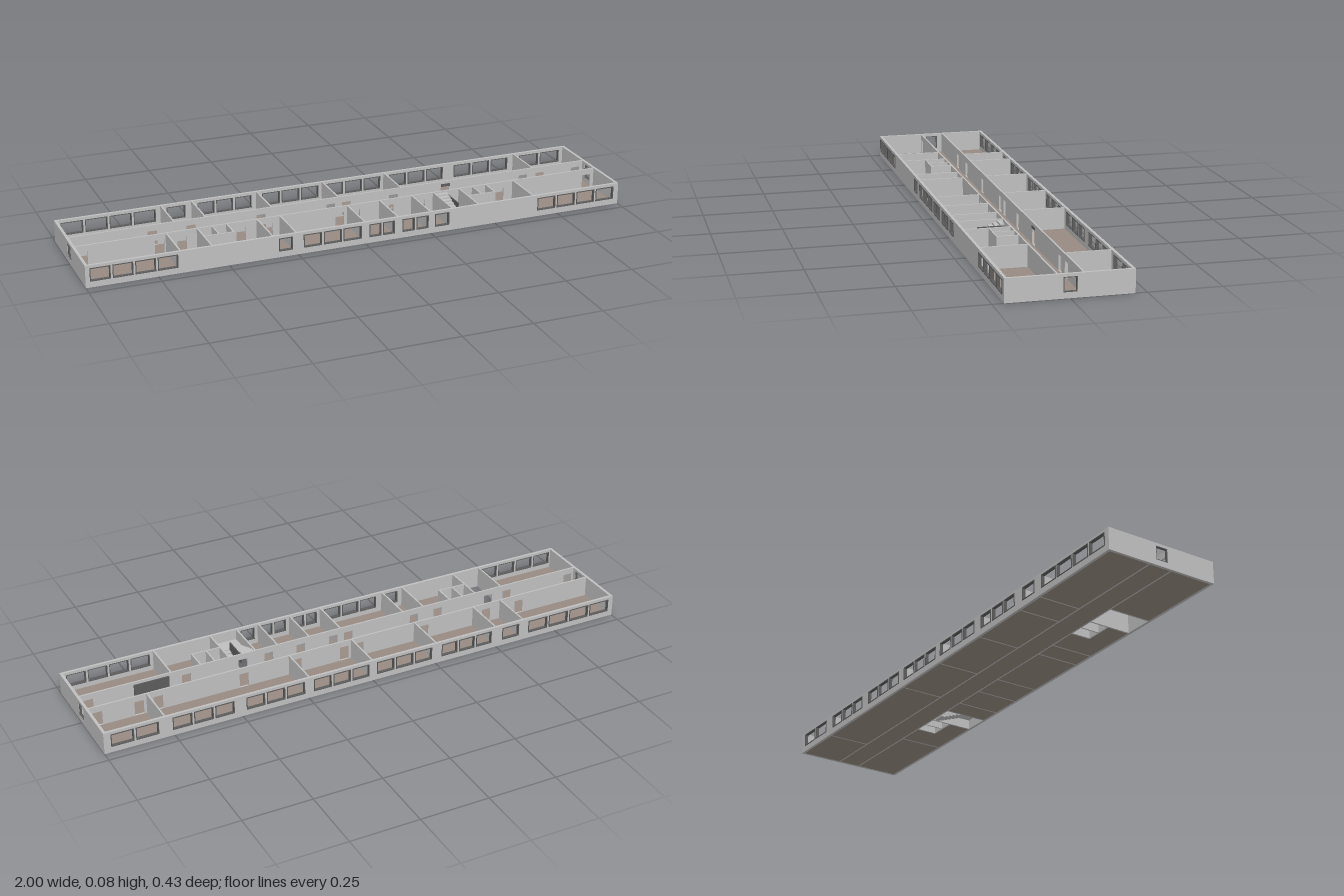
import * as THREE from 'three';

const H = 0.08;          // wall height
const SLAB = 0.004;      // floor thickness
const T = 0.01;          // outer wall thickness
const P = 0.006;         // partition thickness
const SILL = 0.022, HEAD = 0.07;
const DOOR_W = 0.034, DOOR_TOP = 0.058;

const wallMat = new THREE.MeshStandardMaterial({ name: 'wall grey', color: 0xbfbfbf });
const floorMat = new THREE.MeshStandardMaterial({ name: 'floor brown', color: 0x968a82 });
const frameMat = new THREE.MeshStandardMaterial({ name: 'frame grey', color: 0x5c5c5c });

export function createModel() {
  const model = new THREE.Group();
  model.name = 'buildingStorey';

  // box given by its limits
  function block(name, mat, x0, x1, y0, y1, z0, z1, parent = model) {
    const m = new THREE.Mesh(new THREE.BoxGeometry(x1 - x0, y1 - y0, z1 - z0), mat);
    m.position.set((x0 + x1) / 2, (y0 + y1) / 2, (z0 + z1) / 2);
    m.name = name;
    parent.add(m);
    return m;
  }

  // upright wall with rectangular holes [u0, u1, y0, y1], centred on its thickness
  function wall(name, u0, u1, thick, holes) {
    const s = new THREE.Shape();
    s.moveTo(u0, 0).lineTo(u1, 0).lineTo(u1, H).lineTo(u0, H).closePath();
    for (const [a, b, c, d] of holes) {
      const h = new THREE.Path();
      h.moveTo(a, c).lineTo(a, d).lineTo(b, d).lineTo(b, c).closePath();
      s.holes.push(h);
    }
    const g = new THREE.ExtrudeGeometry(s, { depth: thick, bevelEnabled: false });
    g.translate(0, 0, -thick / 2);
    const m = new THREE.Mesh(g, wallMat);
    m.name = name;
    const group = new THREE.Group();
    group.name = name + 'Assembly';
    group.add(m);
    model.add(group);
    return group;
  }

  // four thin bars lining an opening
  function frame(parent, [a, b, c, d], depth, z) {
    const w = 0.003, z0 = z - depth / 2, z1 = z + depth / 2;
    block('frameSide', frameMat, a, a + w, c, d, z0, z1, parent);
    block('frameSide', frameMat, b - w, b, c, d, z0, z1, parent);
    block('frameSill', frameMat, a + w, b - w, c, c + w, z0, z1, parent);
    block('frameHead', frameMat, a + w, b - w, d - w, d, z0, z1, parent);
  }

  // [start, end, count] gives a row of equal windows
  function windowRow(rows) {
    const out = [];
    for (const [a, b, n] of rows) {
      const gap = 0.007, w = (b - a - gap * (n - 1)) / n;
      for (let i = 0; i < n; i++) {
        const x = a + i * (w + gap);
        out.push([x, x + w, SILL, HEAD]);
      }
    }
    return out;
  }

  // outer long walls with framed windows
  const frontWindows = windowRow([
    [-0.985, -0.68, 4], [-0.32, -0.27, 1], [-0.23, -0.015, 3], [0.015, 0.11, 2],
    [0.14, 0.24, 2], [0.265, 0.32, 1], [0.67, 0.98, 4]]);
  const backWindows = windowRow([
    [-0.98, -0.635, 4], [-0.595, -0.525, 1], [-0.48, -0.275, 3], [-0.235, -0.015, 3],
    [0.015, 0.23, 3], [0.265, 0.485, 3], [0.53, 0.755, 3], [0.805, 0.975, 2]]);
  for (const [name, side, wins] of [['frontWall', 1, frontWindows], ['backWall', -1, backWindows]]) {
    const g = wall(name, -1, 1, T, wins);
    g.position.z = side * (0.211 - T / 2);
    wins.forEach((w) => frame(g, w, T + 0.002, side * 0.001));
  }

  // end walls with one corridor window each
  for (const side of [-1, 1]) {
    const hole = [-0.023, 0.023, 0.02, HEAD];
    const g = wall('endWall', -0.201, 0.201, T, [hole]);
    g.rotation.y = Math.PI / 2;
    g.position.x = side * (1 - T / 2);
    frame(g, hole, T - 0.002, 0);
  }

  // corridor walls with doorways
  const doors = (list) => list.map((x) => [x - DOOR_W / 2, x + DOOR_W / 2, SLAB + 0.001, DOOR_TOP]);
  const corridors = [
    ['corridorWallBack', -0.045, [-0.695, -0.555, -0.295, -0.03, 0.03, 0.215, 0.42, 0.74, 0.81, 0.96]],
    ['corridorWallFront', 0.041, [-0.965, -0.695, -0.615, -0.4, -0.3, -0.03, 0.03, 0.16, 0.285, 0.385, 0.6, 0.96]]];
  for (const [name, z, list] of corridors) {
    const holes = doors(list);
    const g = wall(name, -0.99, 0.99, P, holes);
    g.position.z = z;
  }
  block('corridorPanel', frameMat, 0.665, 0.795, 0.02, 0.07, 0.034, 0.038);
  block('corridorPanel', frameMat, 0.405, 0.44, 0.06, 0.07, -0.042, -0.039);

  // cross partitions between rooms
  const backParts = [-0.615, -0.5, -0.255, 0, 0.245, 0.78];
  const frontParts = [-0.67, -0.558, -0.34, -0.255, 0, 0.125, 0.25, 0.335, 0.437, 0.655];
  for (const x of backParts) block('partition', wallMat, x - P / 2, x + P / 2, 0, H, -0.201, -0.048);
  for (const x of frontParts) block('partition', wallMat, x - P / 2, x + P / 2, 0, H, 0.044, 0.201);

  // floor slabs, one per room; stairwells stay open
  function roomFloors(parts, z0, z1) {
    const e = [-0.99 - P / 2, ...parts, 0.99 + P / 2];
    for (let i = 0; i + 1 < e.length; i++) {
      const a = e[i] + P / 2, b = e[i + 1] - P / 2;
      if (z0 > 0 && (e[i] === -0.67 || e[i] === 0.335)) continue;
      const shaft = z0 > 0 && (e[i] === -0.558 || e[i] === 0.437);
      if (shaft) {
        block('roomFloor', floorMat, a, b, 0, SLAB, 0.12, z1);
        block('roomFloor', floorMat, a + 0.107, b, 0, SLAB, z0, 0.12);
      } else block('roomFloor', floorMat, a, b, 0, SLAB, z0, z1);
    }
  }
  roomFloors(backParts, -0.201, -0.048);
  roomFloors(frontParts, 0.044, 0.201);
  block('corridorFloor', floorMat, -0.99, 0.99, 0, SLAB, -0.042, 0.038);

  // twin lift shafts beside each stairwell
  for (const x of [-0.555, 0.44]) {
    block('shaftDivider', wallMat, x + 0.048, x + 0.053, 0, H, 0.044, 0.115);
    block('shaftSide', wallMat, x + 0.101, x + 0.107, 0, H, 0.044, 0.115);
    block('shaftFront', wallMat, x, x + 0.107, 0, H, 0.115, 0.12);
  }

  // two stair flights meeting at a half landing
  const n = 6, run = 0.016;
  for (let i = 0; i < n; i++) {
    const z = 0.05 + i * run;
    const up = 0.076 - i * 0.006, low = 0.008 + i * 0.006;
    block('upperStep', wallMat, 0.339, 0.384, up - 0.009, up, z, z + run);
    block('lowerStep', wallMat, 0.388, 0.433, Math.max(0, low - 0.009), low, z, z + run);
  }
  block('landing', wallMat, 0.339, 0.433, 0.034, 0.042, 0.05 + n * run, 0.2);
  block('stairRail', frameMat, 0.384, 0.388, 0.036, 0.07, 0.05, 0.146);

  return model;
}
